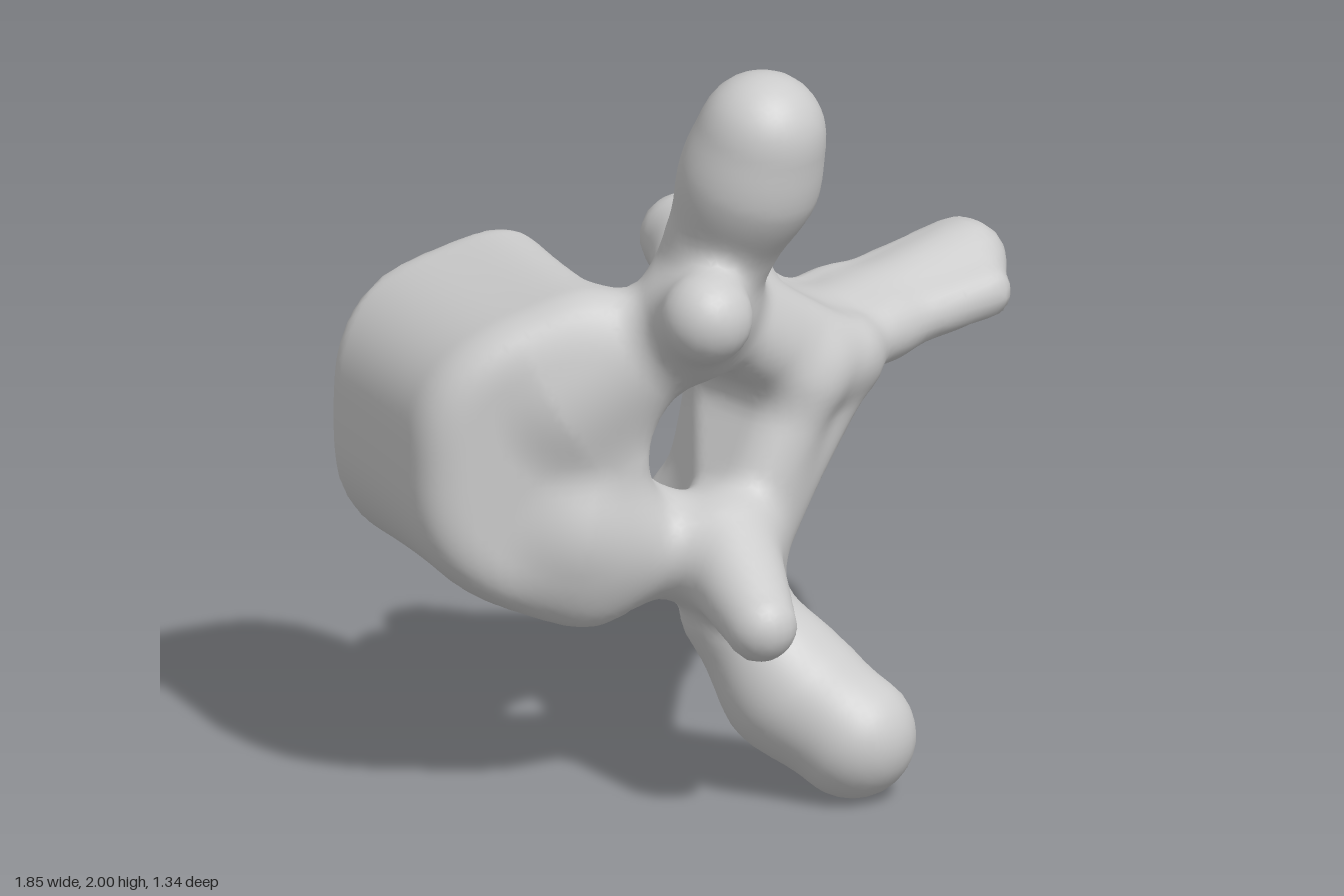
import * as THREE from 'three';

const V = (p) => new THREE.Vector3(...p);
const tmp = new THREE.Vector3();

// Tapered rod with rounded ends
function rod(a, b, ra, rb) {
  const A = V(a), D = V(b).sub(A), len2 = D.lengthSq();
  return (p) => {
    const h = THREE.MathUtils.clamp(tmp.copy(p).sub(A).dot(D) / len2, 0, 1);
    return tmp.copy(D).multiplyScalar(h).add(A).distanceTo(p) - (ra + (rb - ra) * h);
  };
}

// Rounded four-cornered plate of half thickness r
function plate(a, b, c, d, r) {
  const t1 = new THREE.Triangle(V(a), V(b), V(c)), t2 = new THREE.Triangle(V(a), V(c), V(d));
  return (p) => Math.min(
    t1.closestPointToPoint(p, tmp).distanceTo(p),
    t2.closestPointToPoint(p, tmp).distanceTo(p)) - r;
}

// Slanted drum, taller towards the canal, dished at the rear and cut off at its far corner
function drum(p) {
  const x = p.x + 0.55, y = p.y - 0.94, z = p.z + 0.25;
  const n = 0.57 * x - 0.82 * z;
  const t = 0.82 * x + 0.57 * z + 0.22 * n + 0.015;
  const waist = 0.97 + 0.03 * Math.min(1, (n / 0.34) ** 2);
  const w = 0.315 * waist;
  const h = (0.42 + 0.12 * THREE.MathUtils.clamp(t / w, -1, 1)) * waist;
  const q = (Math.abs(t / w) ** 3.1 + Math.abs(y / h) ** 3.1) ** (1 / 3.1);
  const side = (q - 1) * 0.32;
  const dish = n > 0 ? 0.06 * Math.max(0, 1 - q * q) : 0;
  const cap = Math.abs(n) - (0.36 - dish);
  return -blend(blend(-side, -cap, 0.12), p.z + 0.68, 0.08);
}

// Smooth minimum
function blend(a, b, k) {
  const h = Math.max(k - Math.abs(a - b), 0) / k;
  return Math.min(a, b) - h * h * k / 4;
}

const parts = {
  vertebralBody: [drum],
  pedicles: [
    rod([-0.53, 1.11, 0], [-0.36, 1.27, 0.22], 0.2, 0.13),
    rod([-0.52, 0.74, 0.02], [-0.25, 0.65, 0.22], 0.19, 0.12),
  ],
  laminae: [
    plate([-0.26, 1.3, 0.27], [0.04, 1.08, 0.27], [0.05, 1.08, 0.03], [-0.12, 1.33, 0.06], 0.1),
    plate([-0.16, 0.65, 0.24], [0.03, 1.04, 0.27], [0.05, 1.04, 0.03], [0, 0.65, -0.02], 0.11),
    // webs running out to the spine
    plate([-0.22, 1.36, 0.22], [0, 1.37, -0.07], [0.26, 1.11, -0.05], [0.2, 1.09, 0.27], 0.09),
    plate([-0.1, 0.64, 0.24], [0.01, 0.64, -0.07], [0.25, 1.02, -0.04], [0.23, 1.03, 0.24], 0.085),
  ],
  spinousProcess: [
    plate([0.1, 1.09, 0.3], [0.1, 1.09, -0.06], [0.45, 1.11, -0.01], [0.42, 1.09, 0.21], 0.065),
    plate([0.42, 1.09, 0.21], [0.45, 1.11, -0.01], [0.84, 1.17, 0.05], [0.75, 1.12, 0.255], 0.07),
    rod([0.2, 1.06, 0.11], [0.82, 1.165, 0.13], 0.09, 0.09),
  ],
  upperTransverseProcess: [
    rod([-0.28, 1.43, 0.265], [-0.265, 1.71, 0.395], 0.14, 0.165),
    rod([-0.265, 1.71, 0.395], [-0.26, 1.835, 0.435], 0.165, 0.165),
  ],
  lowerTransverseProcess: [
    rod([-0.16, 0.48, 0.24], [-0.08, 0.28, 0.36], 0.14, 0.16),
    rod([-0.08, 0.28, 0.36], [-0.005, 0.165, 0.51], 0.16, 0.165),
  ],
  frontArticularProcesses: [
    rod([-0.33, 1.3, 0.25], [-0.45, 1.38, 0.42], 0.135, 0.12),
    rod([-0.25, 0.67, 0.29], [-0.37, 0.555, 0.535], 0.145, 0.095),
  ],
  rearArticularProcesses: [
    rod([-0.06, 1.36, 0.1], [0, 1.37, -0.095], 0.115, 0.105),
    rod([0, 0.66, 0.1], [0, 0.625, -0.095], 0.12, 0.1),
  ],
};
const names = Object.keys(parts);
const solids = Object.values(parts).flat();

const field = (p) => solids.reduce((d, f) => blend(d, f(p), 0.08), 9);

// Name of the part nearest to a point
function owner(p) {
  let best = 9, found = names[0];
  for (const name of names) for (const f of parts[name]) {
    const d = f(p);
    if (d < best) { best = d; found = name; }
  }
  return found;
}

export function createModel() {
  const S = 0.026, lo = [-1.04, -0.1, -0.82], N = [80, 86, 63];
  const stride = [1, N[0], N[0] * N[1]];
  const value = new Float32Array(N[0] * N[1] * N[2]);
  const p = new THREE.Vector3();
  const each = (start, fn) => {
    for (let k = start; k < N[2] - 1; k++)
      for (let j = start; j < N[1] - 1; j++)
        for (let i = start; i < N[0] - 1; i++) fn(i, j, k, i + j * stride[1] + k * stride[2]);
  };
  value.fill(1);
  each(0, (i, j, k, id) => {
    value[id] = field(p.set(lo[0] + i * S, lo[1] + j * S, lo[2] + k * S));
  });

  // One surface point per crossed cell, at the mean of its edge crossings
  const points = new Map();
  each(0, (i, j, k, id) => {
    const sum = new THREE.Vector3();
    let count = 0;
    for (let c = 0; c < 8; c++) for (let a = 0; a < 3; a++) {
      if (c >> a & 1) continue;
      const o = [c & 1, c >> 1 & 1, c >> 2 & 1];
      const from = id + o[0] + o[1] * stride[1] + o[2] * stride[2];
      const v0 = value[from], v1 = value[from + stride[a]];
      if ((v0 < 0) === (v1 < 0)) continue;
      o[a] += v0 / (v0 - v1);
      sum.add(V(o));
      count++;
    }
    if (!count) return;
    const pos = sum.divideScalar(count).add(V([i, j, k])).multiplyScalar(S).add(V(lo));
    const e = 0.015;
    const slope = (x, y, z) =>
      field(p.set(pos.x + x, pos.y + y, pos.z + z)) - field(p.set(pos.x - x, pos.y - y, pos.z - z));
    const normal = new THREE.Vector3(slope(e, 0, 0), slope(0, e, 0), slope(0, 0, e)).normalize();
    points.set(id, { pos, normal });
  });

  // Join the points into quads and sort these by part
  const data = Object.fromEntries(names.map((n) => [n, { pos: [], nor: [] }]));
  each(1, (i, j, k, id) => {
    for (let a = 0; a < 3; a++) {
      const inside = value[id] < 0;
      if (inside === value[id + stride[a]] < 0) continue;
      const b = stride[(a + 1) % 3], c = stride[(a + 2) % 3];
      const quad = [id - b - c, id - c, id, id - b].map((q) => points.get(q));
      if (!inside) quad.reverse();
      const centre = new THREE.Vector3();
      quad.forEach((q) => centre.addScaledVector(q.pos, 0.25));
      const out = data[owner(centre)];
      for (const n of [0, 1, 2, 0, 2, 3]) {
        out.pos.push(...quad[n].pos.toArray());
        out.nor.push(...quad[n].normal.toArray());
      }
    }
  });

  const group = new THREE.Group();
  group.name = 'vertebra';
  const material = new THREE.MeshStandardMaterial({ color: 0xcccccc });
  for (const name of names) {
    const geometry = new THREE.BufferGeometry();
    geometry.setAttribute('position', new THREE.Float32BufferAttribute(data[name].pos, 3));
    geometry.setAttribute('normal', new THREE.Float32BufferAttribute(data[name].nor, 3));
    const mesh = new THREE.Mesh(geometry, material);
    mesh.name = name;
    group.add(mesh);
  }
  return group;
}
